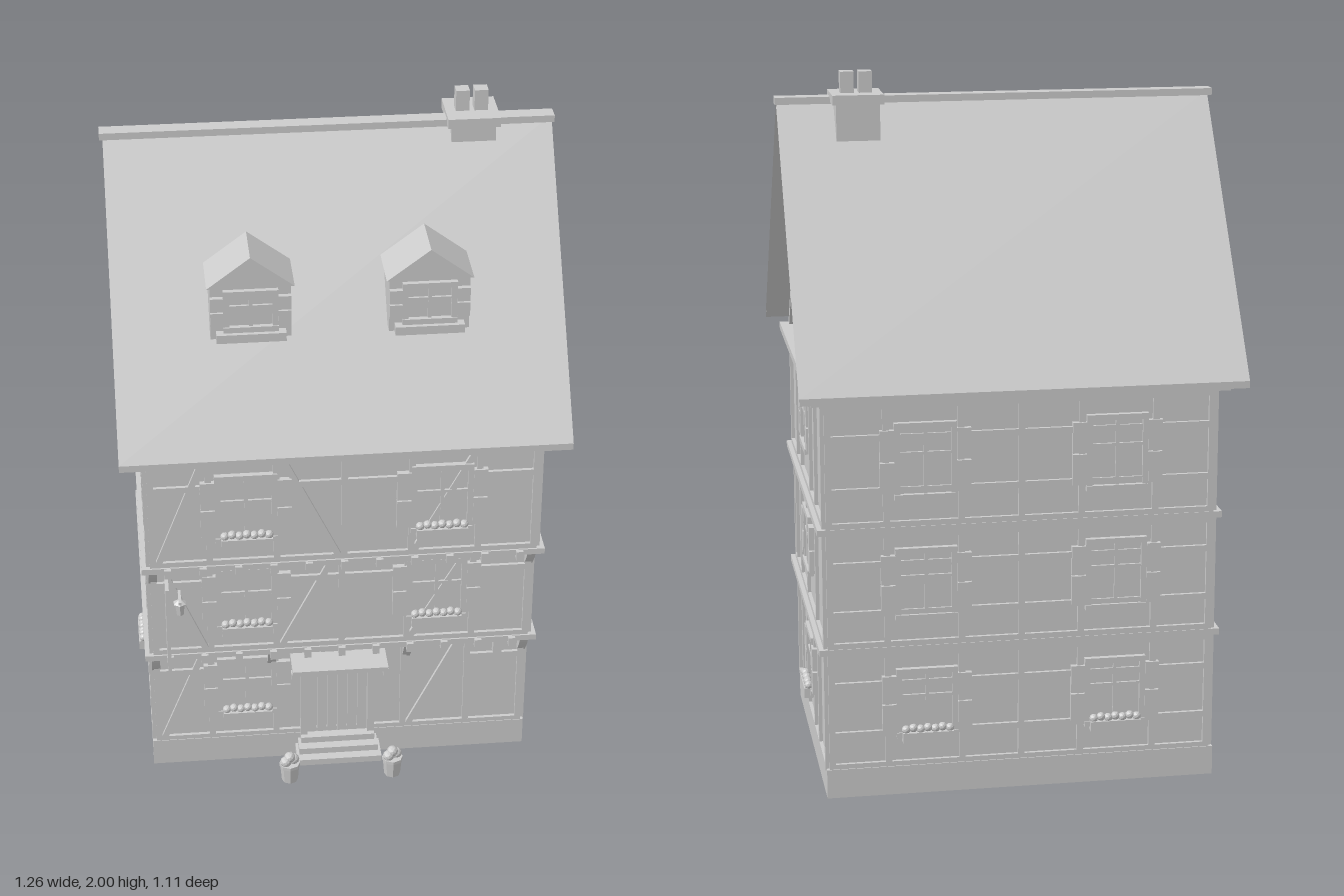
import * as THREE from 'three';

const mat = new THREE.MeshStandardMaterial({ color: 0xcccccc, flatShading: true });
const thin = new THREE.MeshStandardMaterial({ color: 0xcccccc, flatShading: true, side: THREE.DoubleSide });

function add(parent, name, geo, x = 0, y = 0, z = 0, m = mat) {
  const mesh = new THREE.Mesh(geo, m);
  mesh.name = name;
  mesh.position.set(x, y, z);
  parent.add(mesh);
  return mesh;
}

// Box given by its limits on each axis
function block(parent, name, x0, x1, y0, y1, z0, z1) {
  return add(parent, name, new THREE.BoxGeometry(x1 - x0, y1 - y0, z1 - z0),
    (x0 + x1) / 2, (y0 + y1) / 2, (z0 + z1) / 2);
}

function group(parent, name, x = 0, y = 0, z = 0, turn = 0) {
  const g = new THREE.Group();
  g.name = name;
  g.position.set(x, y, z);
  g.rotation.y = turn;
  parent.add(g);
  return g;
}

// Timber lying on a facade between two points
function beam(parent, u0, v0, u1, v1, width = 0.018) {
  const b = add(parent, 'timber', new THREE.BoxGeometry(Math.hypot(u1 - u0, v1 - v0), width, 0.02),
    (u0 + u1) / 2, (v0 + v1) / 2, 0);
  b.rotation.z = Math.atan2(v1 - v0, u1 - u0);
}

function flowerBox(parent, u, v, w) {
  const g = group(parent, 'flowerBox', u, v, 0);
  block(g, 'trough', -w / 2, w / 2, 0, 0.03, 0.008, 0.036);
  const n = 7;
  for (let i = 0; i < n; i++)
    add(g, 'flower', new THREE.IcosahedronGeometry(0.0125, 1), (i / (n - 1) - 0.5) * (w - 0.02), 0.037 + 0.004 * (i % 2), 0.022);
}

// Casement window: frame, glazing bars, shutters and sill
function windowUnit(parent, u, v0, v1, w = 0.175, flowers = false, shutter = 0.04) {
  const g = group(parent, 'window', u, 0, 0);
  const h = w / 2, t = 0.016;
  block(g, 'pane', -h, h, v0, v1, -0.01, 0.004);
  for (const s of [-1, 1]) {
    block(g, 'frameSide', s * (h - t / 2) - t / 2, s * (h - t / 2) + t / 2, v0, v1, 0, 0.014);
    if (shutter) {
      const mid = (v0 + v1) / 2, c = s * (h + shutter / 2);
      block(g, 'shutter', c - shutter / 2, c + shutter / 2, v0 + 0.02, mid - 0.002, 0, 0.016);
      block(g, 'shutter', c - shutter / 2, c + shutter / 2, mid + 0.002, v1 - 0.02, 0, 0.016);
    }
  }
  block(g, 'frameTop', -h, h, v1 - t, v1, 0, 0.016);
  block(g, 'frameBottom', -h, h, v0, v0 + t, 0, 0.018);
  block(g, 'mullion', -0.005, 0.005, v0, v1, 0, 0.011);
  const m = v0 + (v1 - v0) * 0.6;
  block(g, 'transom', -h, h, m - 0.004, m + 0.004, 0, 0.011);
  if (flowers) flowerBox(g, 0, v0 - 0.01, w - 0.03);
}

// Three storeys, the upper two stepping out over the street
const storeys = [
  { y0: 0.08, y1: 0.43, front: 0.345, win: [0.17, 0.375], side: [0.18, 0.36], sideU: 0.057, posts: [-0.2, -0.04, 0.15, 0.28] },
  { y0: 0.44, y1: 0.78, front: 0.4, win: [0.52, 0.73], side: [0.54, 0.72], sideU: 0.025, posts: [-0.34, -0.19, 0.0, 0.25] },
  { y0: 0.79, y1: 1.15, front: 0.465, win: [0.87, 1.09], side: [0.9, 1.08], sideU: -0.005, posts: [-0.27, -0.145, 0.125, 0.27] },
];
const BACK = -0.462, HALF = 0.55;

function buildStorey(house, s, i) {
  const { y0, y1, front } = s;
  const g = group(house, 'storey' + (i + 1));
  block(g, 'wall', -HALF, HALF, y0, y1 + 0.01, BACK, front);

  // Front: posts, rails, braces and windows
  const f = group(g, 'frontFacade', 0, 0, front);
  const rail = y0 + 0.72 * (y1 - y0);
  for (const u of [-0.54, -0.38, -0.19, 0, 0.19, 0.38, 0.54]) if (i || u) beam(f, u, y0, u, y1);
  beam(f, -0.54, y0 + 0.01, 0.54, y0 + 0.01);
  beam(f, -0.54, y1 - 0.01, 0.54, y1 - 0.01);
  beam(f, -0.54, rail, -0.38, rail);
  beam(f, 0.38, rail, 0.54, rail);
  if (i) { beam(f, -0.19, rail, 0.19, rail); beam(f, 0.19, y0, 0.38, y1); }
  const [a, b] = i === 1 ? [y1, y0] : [y0, y1];
  beam(f, -0.53, a, -0.39, b);
  if (i) beam(f, -0.01, a, -0.18, b);
  else beam(f, 0.2, y0, 0.37, y1);
  windowUnit(f, -0.275, ...s.win, 0.175, true);
  if (i) windowUnit(f, 0.275, ...s.win, 0.175, true);

  // Back: regular grid
  const r = group(g, 'backFacade', 0, 0, BACK, Math.PI);
  for (const u of [-0.54, -0.38, -0.17, 0, 0.17, 0.38, 0.54]) beam(r, u, y0, u, y1);
  for (const v of [y0 + 0.01, y0 + 0.3 * (y1 - y0), rail, y1 - 0.01]) beam(r, -0.54, v, 0.54, v);
  for (const u of [-0.27, 0.27]) windowUnit(r, u, ...s.win, 0.175, i === 0);

  // Mirrored sides
  for (const k of [1, -1]) {
    const d = group(g, k > 0 ? 'leftFacade' : 'rightFacade', k * HALF, 0, 0, k * Math.PI / 2);
    for (const u of [-front + 0.009, ...s.posts, -BACK - 0.009]) beam(d, k * u, y0, k * u, y1);
    for (const v of [y0 + 0.01, y1 - 0.01]) beam(d, -k * front, v, -k * BACK, v);
    windowUnit(d, k * s.sideU, ...s.side, 0.16, i === 0);
  }

  // Ledge, joist ends and curved corner brackets under the overhang
  if (i < 2) {
    const next = storeys[i + 1].front;
    block(g, 'ledge', -0.573, 0.573, y1 - 0.005, y1 + 0.013, BACK - 0.012, next + 0.015);
    for (let j = 0; j < 11; j++) {
      const x = -0.5 + j * 0.1;
      block(g, 'joistEnd', x - 0.01, x + 0.01, y1 - 0.016, y1 + 0.012, front, next + 0.026);
    }
    const shape = new THREE.Shape();
    shape.moveTo(0, 0).lineTo(0.055, 0);
    shape.quadraticCurveTo(0.045, -0.04, 0, -0.09);
    const geo = new THREE.ExtrudeGeometry(shape, { depth: 0.024, bevelEnabled: false, curveSegments: 5 });
    geo.rotateY(-Math.PI / 2);
    for (const x of [-0.53, -0.19, 0.21, 0.554]) if (i === 0 || Math.abs(x) > 0.5) add(g, 'bracket', geo, x, y1, front);
  }
}

function buildGable(house) {
  const shape = new THREE.Shape();
  shape.moveTo(-0.475, 1.165).lineTo(0.475, 1.165).lineTo(0, 1.79);
  const geo = new THREE.ExtrudeGeometry(shape, { depth: 2 * HALF - 0.01, bevelEnabled: false });
  geo.translate(0, 0, -HALF + 0.005).rotateY(Math.PI / 2);
  add(house, 'atticWalls', geo);
  for (const k of [1, -1]) {
    const d = group(house, 'gableTimbers', k * HALF, 0, 0, k * Math.PI / 2);
    for (const m of [-1, 1]) {
      beam(d, m * 0.465, 1.17, 0, 1.78, 0.022);
      beam(d, m * 0.23, 1.17, m * 0.07, 1.5);
    }
    beam(d, 0, 1.17, 0, 1.78);
    beam(d, -0.33, 1.36, 0.33, 1.36);
    beam(d, -0.14, 1.6, 0.14, 1.6);
    windowUnit(d, 0, 1.44, 1.58, 0.14, false);
  }
}

function buildRoof(house) {
  // Hollow folded slab, open at the gable ends
  const profile = [[-0.557, 1.17], [-0.557, 1.19], [0, 1.92], [0.557, 1.19], [0.557, 1.17], [0, 1.9], [-0.557, 1.17]];
  const geo = new THREE.PlaneGeometry(1.245, 1, 1, profile.length - 1);
  const p = geo.attributes.position;
  for (let i = 0; i < p.count; i++) {
    const [z, y] = profile[Math.floor(i / 2)];
    p.setXYZ(i, p.getX(i), y, z);
  }
  const flat = geo.toNonIndexed();
  flat.computeVertexNormals();
  add(house, 'roof', flat, 0, 0, 0, thin);
  block(house, 'ridgeCap', -0.632, 0.628, 1.908, 1.928, -0.024, 0.022);

  const c = group(house, 'chimney', 0.4, 0, -0.022);
  block(c, 'stack', -0.062, 0.062, 1.69, 1.92, -0.062, 0.062);
  block(c, 'cap', -0.073, 0.073, 1.913, 1.94, -0.072, 0.072);
  for (const x of [-0.026, 0.026]) block(c, 'flue', x - 0.019, x + 0.019, 1.94, 2, -0.022, 0.016);

  for (const x of [-0.247, 0.24]) {
    const d = group(house, 'dormer', x, 0, 0);
    block(d, 'body', -0.11, 0.11, 1.47, 1.63, 0.24, 0.378);
    const s = new THREE.Shape();
    s.moveTo(-0.119, 1.63).lineTo(0.119, 1.63).lineTo(0, 1.72);
    add(d, 'dormerRoof', new THREE.ExtrudeGeometry(s, { depth: 0.155, bevelEnabled: false }), 0, 0, 0.235);
    const f = group(d, 'dormerFront', 0, 0, 0.376);
    windowUnit(f, 0, 1.495, 1.62, 0.15, false, 0.035);
    block(f, 'sill', -0.095, 0.095, 1.47, 1.495, 0, 0.03);
  }
}

function buildEntrance(house) {
  const g = group(house, 'entrance', -0.008, 0, 0.345);
  for (let i = 0; i < 6; i++) {
    const x = -0.09 + i * 0.03;
    block(g, 'doorPlank', x + 0.001, x + 0.029, 0.085, 0.36, 0, 0.012);
  }
  for (const s of [-1, 1]) {
    block(g, 'doorPost', s * 0.1 - 0.01, s * 0.1 + 0.01, 0.085, 0.375, 0, 0.025);
    // Canopy strut and hanging lantern
    const strut = block(g, 'canopyStrut', s * 0.125 - 0.006, s * 0.125 + 0.006, 0.33, 0.342, -0.01, 0.1);
    strut.rotation.x = -0.7;
    block(g, 'lantern', s * 0.135 - 0.008, s * 0.135 + 0.008, 0.35, 0.375, 0.085, 0.105);
    // Planter with shrub beside the steps
    const p = group(g, 'planter', s * 0.153, 0, 0.14);
    add(p, 'tub', new THREE.CylinderGeometry(0.029, 0.024, 0.06, 8), 0, 0.045, 0);
    add(p, 'tubRim', new THREE.CylinderGeometry(0.031, 0.031, 0.01, 8), 0, 0.072, 0);
    for (const [x, y, z] of [[-0.012, 0.085, 0.006], [0.012, 0.085, -0.006], [0, 0.096, 0]])
      add(p, 'shrub', new THREE.IcosahedronGeometry(0.017, 1), x, y, z);
  }
  block(g, 'doorLintel', -0.11, 0.11, 0.36, 0.378, 0, 0.027);
  block(g, 'canopy', -0.14, 0.14, 0.377, 0.392, 0, 0.12);
  add(g, 'canopyArch', new THREE.CylinderGeometry(0.05, 0.05, 0.015, 16, 1, false, -Math.PI / 2, Math.PI)
    .rotateX(-Math.PI / 2).scale(1, 0.45, 1), 0, 0.39, 0.02, thin);
  for (let i = 0; i < 3; i++)
    block(g, 'step', -0.11 - 0.008 * i, 0.11 + 0.008 * i, 0.066 - 0.02 * i, 0.086 - 0.02 * i, 0, 0.04 + 0.028 * i);
}

function buildStreetFittings(house) {
  // Hanging board on an iron arm, with a wall lamp beside it
  const s = group(house, 'hangingSign', -0.505, 0, 0);
  block(s, 'board', -0.005, 0.005, 0.485, 0.765, 0.455, 0.547);
  block(s, 'arm', -0.004, 0.004, 0.66, 0.668, 0.4, 0.47);
  const l = group(house, 'wallLamp', -0.468, 0.63, 0.445);
  block(l, 'lampArm', -0.004, 0.004, 0.024, 0.032, -0.045, 0.02);
  add(l, 'lampGlass', new THREE.CylinderGeometry(0.016, 0.011, 0.04, 6));
  add(l, 'lampHood', new THREE.ConeGeometry(0.02, 0.014, 6), 0, 0.026, 0);
  block(house, 'frontLantern', 0.45, 0.475, 0.37, 0.42, 0.375, 0.4);
}

export function createModel() {
  const house = new THREE.Group();
  house.name = 'timberFramedHouse';
  block(house, 'plinth', -0.56, 0.557, 0, 0.085, -0.475, 0.357);
  storeys.forEach((s, i) => buildStorey(house, s, i));
  block(house, 'eavesBand', -0.588, 0.586, 1.147, 1.168, -0.485, 0.492);
  buildGable(house);
  buildRoof(house);
  buildEntrance(house);
  buildStreetFittings(house);
  return house;
}
